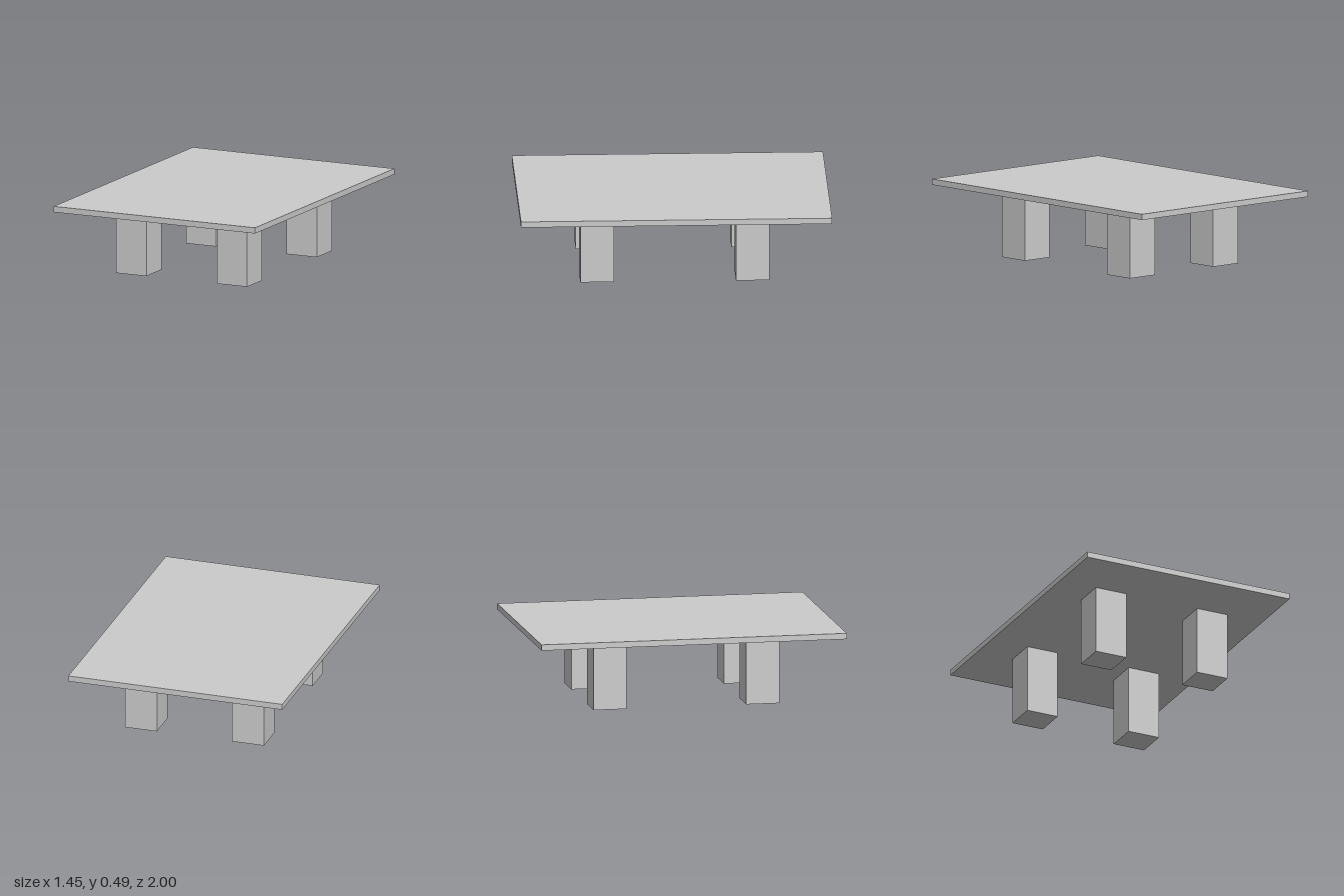
import * as THREE from 'three';

const TOP = { width: 1.446, thickness: 0.038, depth: 2 };
const LEG = { size: 0.217, height: 0.451, x: 0.362, z: 0.5 };

export function createModel() {
  const table = new THREE.Group();
  table.name = 'table';
  const material = new THREE.MeshStandardMaterial({ color: 0xcccccc });

  // Thin rectangular top resting on the legs
  const top = new THREE.Mesh(new THREE.BoxGeometry(TOP.width, TOP.thickness, TOP.depth), material);
  top.name = 'tableTop';
  top.position.y = LEG.height + TOP.thickness / 2;
  table.add(top);

  // Four square legs, set in from the edges
  const legGeometry = new THREE.BoxGeometry(LEG.size, LEG.height, LEG.size);
  for (const [side, sx] of [['Left', 1], ['Right', -1]]) {
    for (const [end, sz] of [['front', 1], ['back', -1]]) {
      const leg = new THREE.Mesh(legGeometry, material);
      leg.name = `${end}${side}Leg`;
      leg.position.set(sx * LEG.x, LEG.height / 2, sz * LEG.z);
      table.add(leg);
    }
  }

  return table;
}
